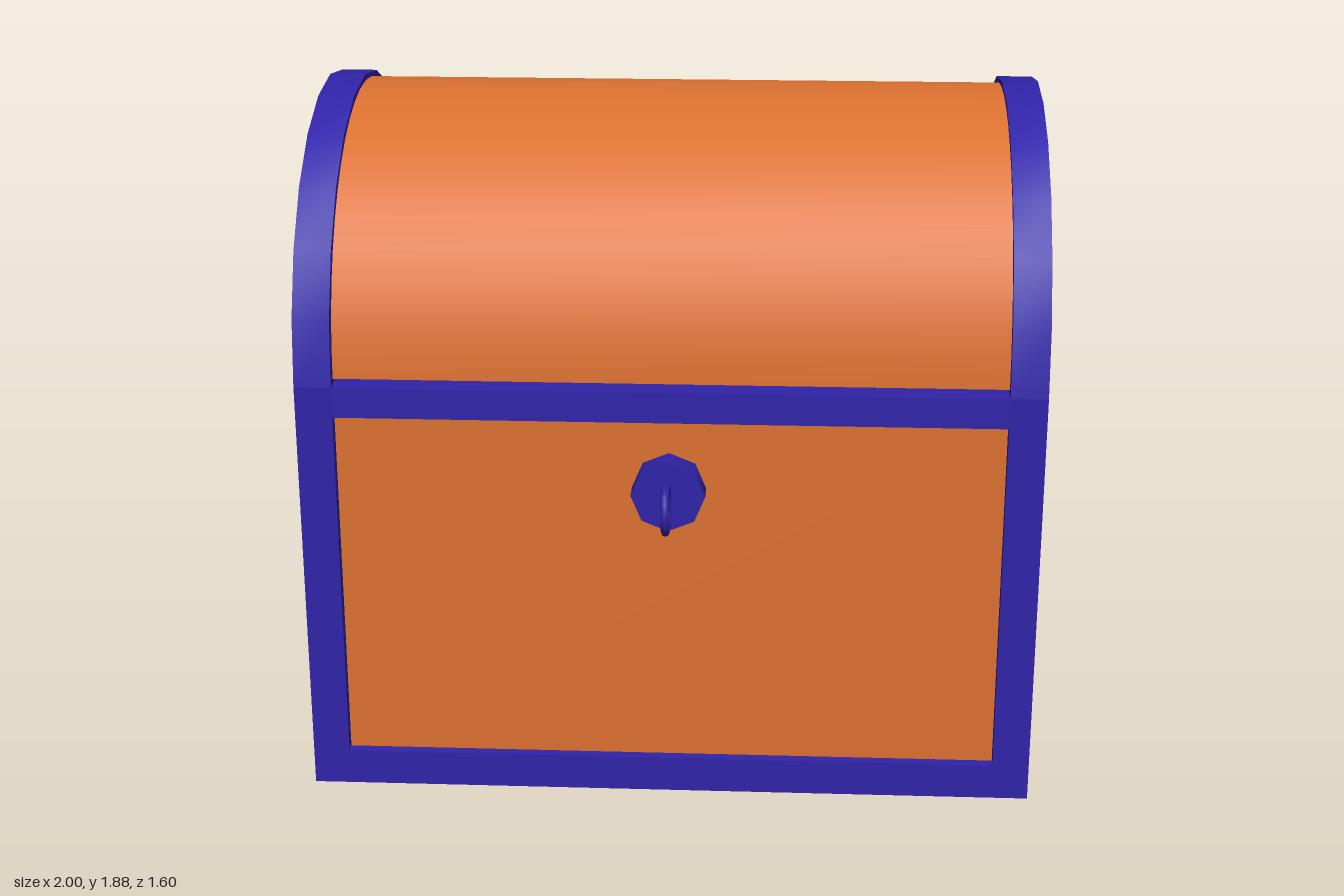
import * as THREE from 'three';
import { toCreasedNormals } from 'three/addons/utils/BufferGeometryUtils.js';

export function createModel() {
  const chest = new THREE.Group();
  chest.name = 'chest';
  const orange = new THREE.MeshStandardMaterial({ color: 0xdb7030 });
  orange.name = 'orange panel';
  const blue = new THREE.MeshStandardMaterial({ color: 0x3023a8 });
  blue.name = 'blue trim';

  const add = (name, geometry, material, x, y, z, parent = chest) => {
    const mesh = new THREE.Mesh(geometry, material);
    mesh.name = name;
    mesh.position.set(x, y, z);
    parent.add(mesh);
    return mesh;
  };
  const box = (name, material, w, h, d, x, y, z, parent) =>
    add(name, new THREE.BoxGeometry(w, h, d), material, x, y, z, parent);

  const zc = -0.1;      // middle of the chest, front to back
  const seam = 1.18;    // height where the lid begins

  // Body, slightly inset behind the trim
  box('bodyPanels', orange, 1.94, 1.11, 1.34, 0, 0.585, zc);

  // Barrel lid, leaving a hairline seam above the trim
  const lidShape = new THREE.Shape();
  const steps = 24;
  for (let i = 0; i <= steps; i++) {
    const a = (i / steps) * Math.PI;
    const x = 0.668 * Math.cos(a), y = 0.668 * Math.sin(a);
    if (i) lidShape.lineTo(x, y); else lidShape.moveTo(x, y);
  }
  const lidGeometry = new THREE.ExtrudeGeometry(lidShape, { depth: 1.94, bevelEnabled: false });
  lidGeometry.translate(0, 0, -0.97).rotateY(Math.PI / 2);
  add('lid', toCreasedNormals(lidGeometry, 0.5), orange, 0, 1.194, zc);

  // Trim: corner posts and rails
  const frame = new THREE.Group();
  frame.name = 'frame';
  chest.add(frame);
  for (const sx of [-1, 1]) {
    for (const sz of [-1, 1]) {
      box('cornerPost', blue, 0.1, seam, 0.1, sx * 0.95, seam / 2, zc + sz * 0.65, frame);
    }
    box('sideBottomRail', blue, 0.1, 0.1, 1.2, sx * 0.95, 0.05, zc, frame);
    box('sideTopRail', blue, 0.1, 0.085, 1.2, sx * 0.95, 1.1375, zc, frame);
  }
  for (const sz of [-1, 1]) {
    box('longBottomRail', blue, 1.8, 0.1, 0.1, 0, 0.05, zc + sz * 0.65, frame);
    box('longTopRail', blue, 1.8, 0.085, 0.1, 0, 1.1375, zc + sz * 0.65, frame);
  }

  // Arched hoops at both ends of the lid
  const hoop = new THREE.Shape();
  const arc = (r, i) => [r * Math.cos((i * Math.PI) / 12), r * Math.sin((i * Math.PI) / 12)];
  hoop.moveTo(0.7, 0);
  for (let i = 1; i <= 12; i++) hoop.lineTo(...arc(0.7, i));
  for (let i = 12; i >= 0; i--) hoop.lineTo(...arc(0.6, i));
  const hoopGeometry = new THREE.ExtrudeGeometry(hoop, { depth: 0.1, bevelEnabled: false });
  hoopGeometry.translate(0, 0, -0.05).rotateY(Math.PI / 2);
  const hoopSmooth = toCreasedNormals(hoopGeometry, 0.5);
  for (const sx of [-1, 1]) add('lidHoop', hoopSmooth, blue, sx * 0.95, seam, zc, frame);

  // Lock plate with a neck and a ring
  const lock = new THREE.Group();
  lock.name = 'lock';
  chest.add(lock);
  const plate = new THREE.CylinderGeometry(0.1, 0.1, 0.065, 8).rotateX(Math.PI / 2);
  add('lockPlate', plate, blue, 0, 0.9, 0.6025, lock);
  box('ringNeck', blue, 0.012, 0.05, 0.04, 0, 0.9, 0.652, lock);
  const ring = new THREE.TorusGeometry(0.06, 0.011, 8, 24).rotateY(Math.PI / 2);
  add('lockRing', ring, blue, 0, 0.9, 0.729, lock);

  return chest;
}
